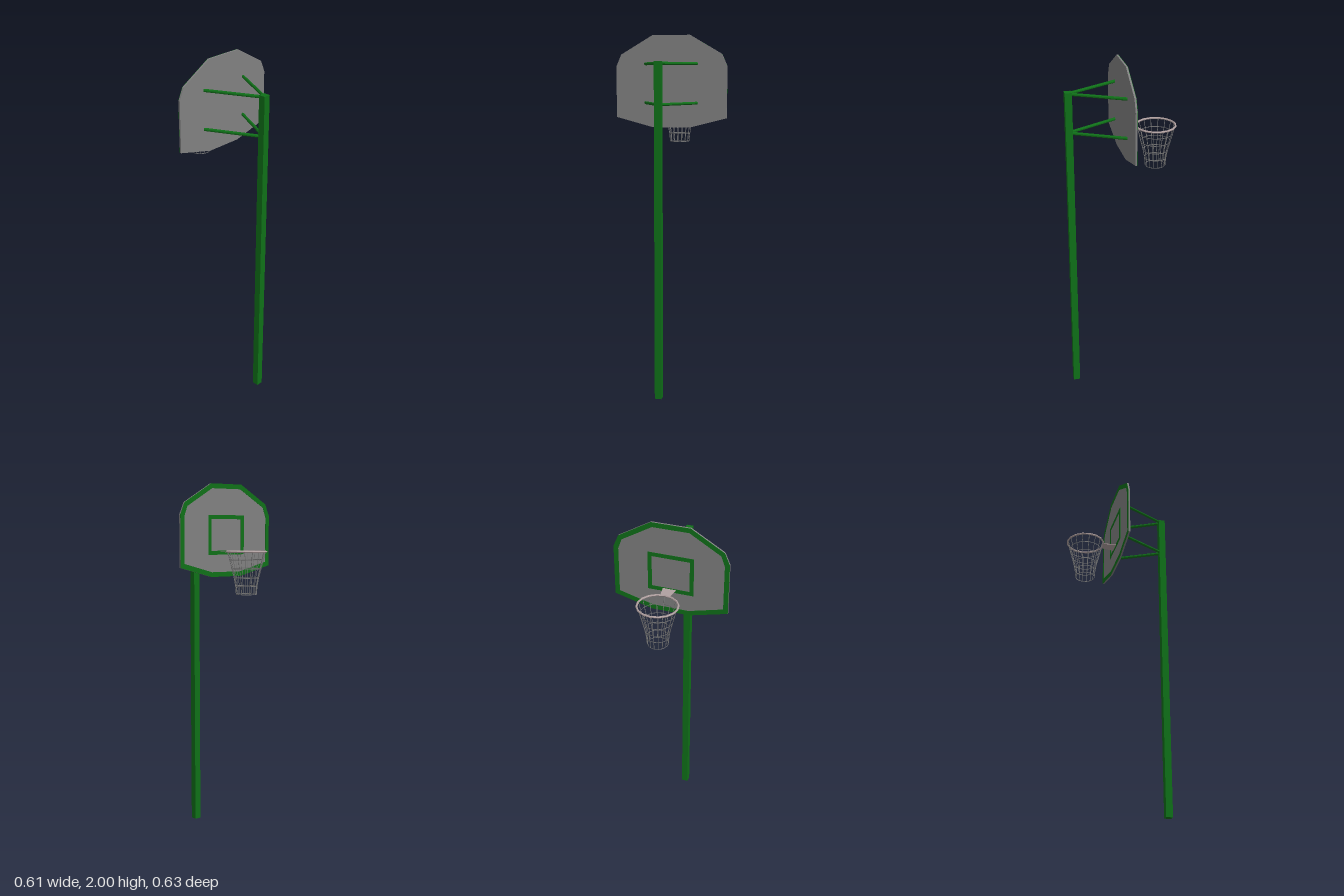
import * as THREE from 'three';

const paint = (color, side = THREE.FrontSide) =>
  new THREE.MeshStandardMaterial({ color, side, flatShading: true });

// Octagonal board outline as (z, y), mirrored about z = 0
function outline(points, target) {
  const all = [...points, ...points.slice().reverse().map(([z, y]) => [-z, y])];
  return target.setFromPoints(all.map(([z, y]) => new THREE.Vector2(z, y)));
}

// Extrude a (z, y) shape into a slab spanning x0..x1
function slab(shape, x0, x1) {
  const geo = new THREE.ExtrudeGeometry(shape, { depth: x1 - x0, bevelEnabled: false });
  return geo.rotateY(-Math.PI / 2).translate(x1, 0, 0);
}

// Straight bar between two points
function bar(a, b, radius, sides) {
  const dir = b.clone().sub(a);
  const geo = new THREE.CylinderGeometry(radius, radius, dir.length(), sides);
  geo.applyQuaternion(new THREE.Quaternion().setFromUnitVectors(
    new THREE.Vector3(0, 1, 0), dir.clone().normalize()));
  return geo.translate(...a.clone().add(b).multiplyScalar(0.5).toArray());
}

export function createModel() {
  const model = new THREE.Group();
  const green = paint(0x0f7018);
  const grey = paint(0x808080);
  const rimPaint = paint(0xb0a0a0);
  const netPaint = paint(0x777777, THREE.DoubleSide);
  const add = (name, geo, mat, parent = model) => {
    const mesh = new THREE.Mesh(geo, mat);
    mesh.name = name;
    parent.add(mesh);
    return mesh;
  };

  // Square pole
  add('pole', new THREE.BoxGeometry(0.038, 1.853, 0.038).translate(0.285, 0.9265, 0), green);

  // Two V-shaped pairs of braces
  for (const y of [1.843, 1.627])
    for (const s of [1, -1])
      add('brace', bar(new THREE.Vector3(0, y, s * 0.147),
        new THREE.Vector3(0.282, y, s * 0.004), 0.0085, 8), green);

  // Backboard
  const edge = [[0.105, 1.49], [0.317, 1.545], [0.317, 1.83], [0.288, 1.895], [0.107, 2]];
  const inner = [[0.101, 1.516], [0.291, 1.566], [0.291, 1.82], [0.27, 1.875], [0.1, 1.974]];
  add('backboard', slab(outline(edge, new THREE.Shape()), -0.0085, 0.001), grey);

  // Painted border and target frame on the playing side
  const border = outline(edge, new THREE.Shape());
  border.holes.push(outline(inner, new THREE.Path()));
  add('boardBorder', slab(border, -0.01, -0.0085), green);
  const frame = outline([[0.127, 1.612], [0.127, 1.83]], new THREE.Shape());
  frame.holes.push(outline([[0.105, 1.634], [0.105, 1.808]], new THREE.Path()));
  add('targetFrame', slab(frame, -0.01, -0.0085), green);

  // Hoop: rim, bracket plate and net
  const hoop = new THREE.Group();
  hoop.name = 'hoop';
  hoop.position.set(-0.19, 0, -0.0065);
  model.add(hoop);
  add('rim', new THREE.TorusGeometry(0.108, 0.0055, 6, 16).rotateX(Math.PI / 2)
    .translate(0, 1.631, 0), rimPaint, hoop);

  const plate = new THREE.Shape([[0.106, -0.025], [0.182, -0.037], [0.182, 0.037], [0.106, 0.025]]
    .map(p => new THREE.Vector2(...p)));
  add('bracketPlate', new THREE.ExtrudeGeometry(plate, { depth: 0.004, bevelEnabled: false })
    .rotateX(-Math.PI / 2).translate(0, 1.626, 0), rimPaint, hoop);

  // Net: [radius, height] of each row, thin bands joined by vertical cords
  const rows = [[0.103, 1.628], [0.093, 1.587], [0.081, 1.54], [0.068, 1.49], [0.06, 1.445], [0.056, 1.4]];
  for (const [r, y] of rows.slice(1))
    add('netBand', new THREE.CylinderGeometry(r, r, 0.004, 16, 1, true).translate(0, y, 0),
      netPaint, hoop);
  for (let i = 0; i < 16; i++) {
    const a = (i / 16) * Math.PI * 2;
    const at = ([r, y]) => new THREE.Vector3(r * Math.cos(a), y, r * Math.sin(a));
    for (let k = 0; k < rows.length - 1; k++)
      add('netCord', bar(at(rows[k]), at(rows[k + 1]), 0.0018, 4), netPaint, hoop);
  }
  return model;
}
